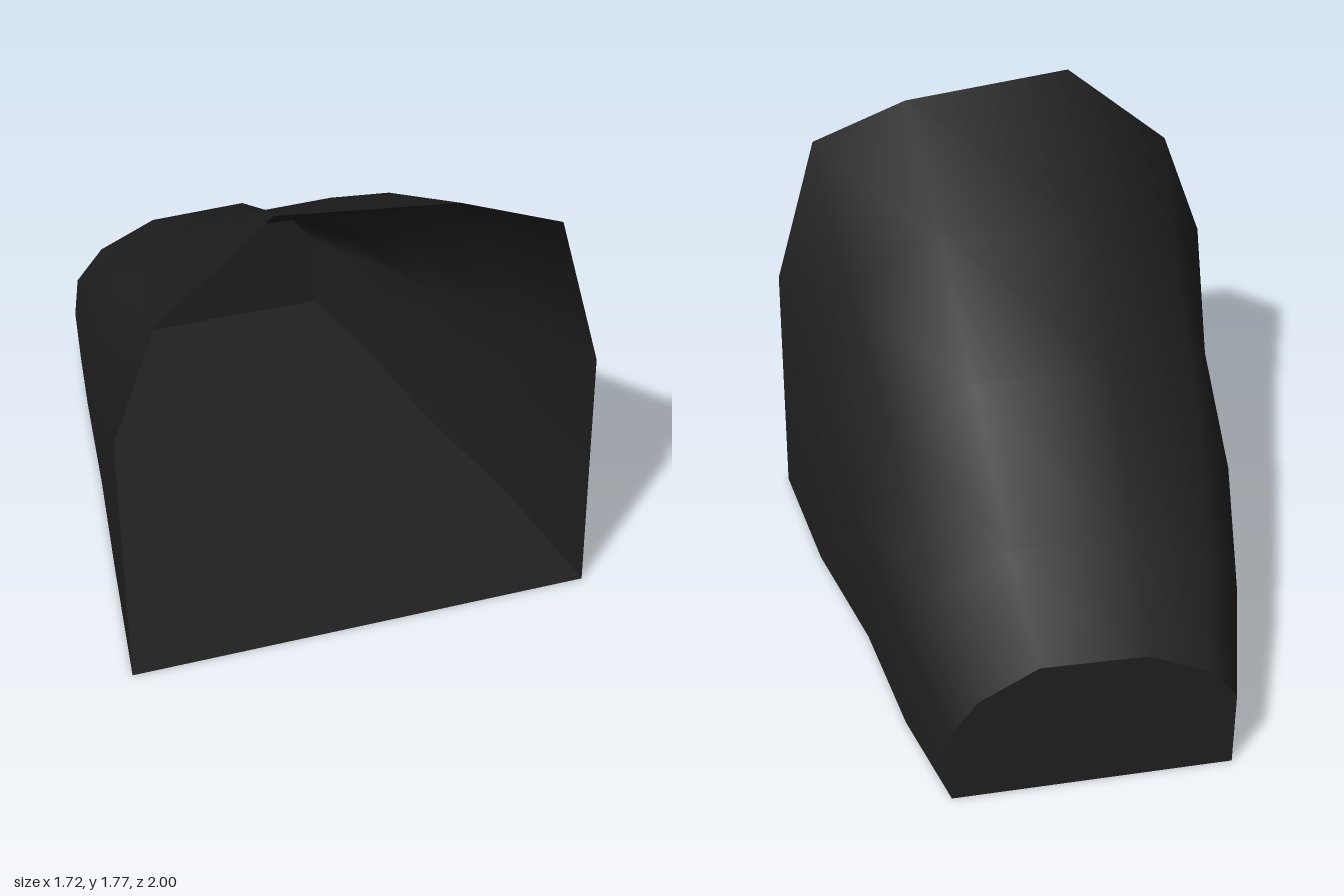
import * as THREE from 'three';

// Cross-sections of the hood from the open front to the closed back:
// each runs from the right foot over the top to the left foot as [x, y].
const sections = [
  { z: 1, p: [[-0.83, 0], [-0.86, 1.01], [-0.71, 1.44], [-0.32, 1.775], [0.31, 1.705], [0.67, 1.565], [0.835, 0.98], [0.855, 0]] },
  { z: 0.45, p: [[-0.75, 0], [-0.76, 0.78], [-0.64, 1.15], [-0.29, 1.4], [0.27, 1.43], [0.61, 1.21], [0.765, 0.78], [0.785, 0]] },
  { z: -0.07, p: [[-0.67, 0], [-0.725, 0.6], [-0.59, 0.89], [-0.26, 1.1], [0.24, 1.11], [0.53, 0.91], [0.69, 0.59], [0.665, 0]] },
  { z: -0.58, p: [[-0.6, 0], [-0.63, 0.44], [-0.51, 0.62], [-0.23, 0.735], [0.21, 0.74], [0.47, 0.6], [0.6, 0.43], [0.595, 0]] },
  { z: -1, p: [[-0.52, 0], [-0.525, 0.31], [-0.42, 0.44], [-0.2, 0.54], [0.18, 0.55], [0.395, 0.43], [0.495, 0.3], [0.495, 0]] },
];

// Smooth skin through rows of [x, y, z] points
function loft(rows) {
  const n = rows[0].length;
  const index = [];
  for (let i = 0; i < rows.length - 1; i++) {
    for (let j = 0; j < n - 1; j++) {
      const a = i * n + j, b = a + 1, c = a + n, d = c + 1;
      index.push(a, b, c, b, d, c);
    }
  }
  const geometry = new THREE.BufferGeometry();
  geometry.setAttribute('position', new THREE.Float32BufferAttribute(rows.flat(2), 3));
  geometry.setIndex(index);
  geometry.computeVertexNormals();
  return geometry;
}

export function createModel() {
  const black = new THREE.MeshStandardMaterial({ color: 0x202020, side: THREE.DoubleSide });
  black.name = 'soft black';
  const model = new THREE.Group();
  model.name = 'taperedHood';

  const add = (name, geometry) => {
    const mesh = new THREE.Mesh(geometry, black);
    mesh.name = name;
    model.add(mesh);
    return mesh;
  };

  // Arched skin, open at the front
  add('archedShell', loft(sections.map(({ z, p }) => p.map(([x, y]) => [x, y, z]))));

  // Flat floor between the feet of the arches, facing down
  add('floor', loft(sections.map(({ z, p }) => [[p[7][0], 0, z], [p[0][0], 0, z]])));

  // Flat wall closing the small end, facing back
  const end = sections[sections.length - 1];
  const wall = new THREE.Shape(end.p.map(([x, y]) => new THREE.Vector2(-x, y)));
  const backWall = add('backWall', new THREE.ShapeGeometry(wall));
  backWall.rotation.y = Math.PI;
  backWall.position.z = end.z;

  return model;
}
